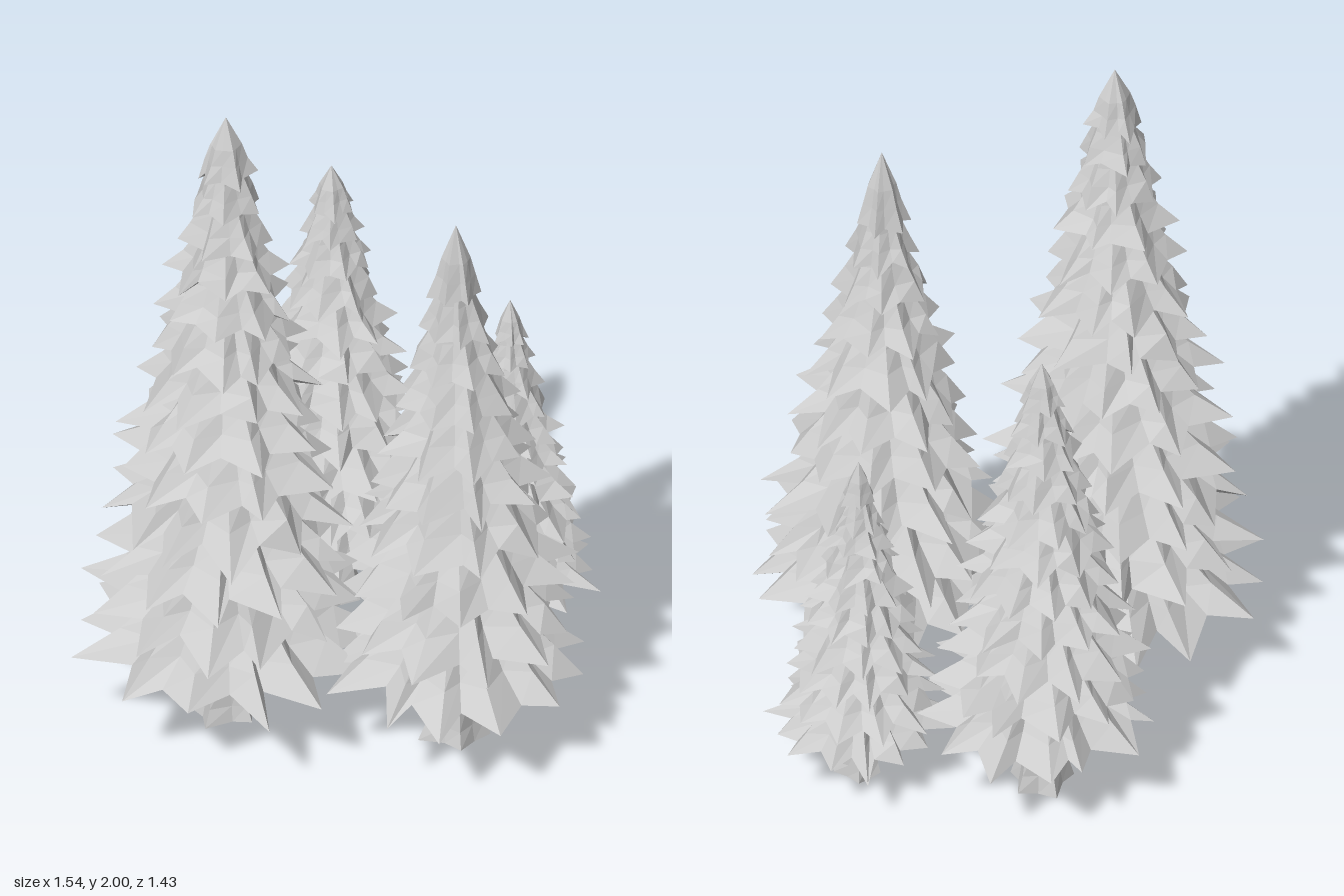
import * as THREE from 'three';

// Small seeded generator
function seeded(seed) {
  let s = seed;
  return () => {
    s = (s * 16807) % 2147483647;
    return s / 2147483647;
  };
}

// Faceted surface through rings of points (bottom to top), closed by a fan below
function loft(rings, under) {
  const pos = [];
  const tri = (...p) => p.forEach((v) => pos.push(v.x, v.y, v.z));
  const n = rings[0].length;
  for (let i = 0; i < n; i++) {
    const j = (i + 1) % n;
    tri(under, rings[0][i], rings[0][j]);
    for (let k = 0; k + 1 < rings.length; k++) {
      const a = rings[k], b = rings[k + 1];
      tri(a[i], b[i], a[j]);
      tri(a[j], b[i], b[j]);
    }
  }
  const g = new THREE.BufferGeometry();
  g.setAttribute('position', new THREE.Float32BufferAttribute(pos, 3));
  g.computeVertexNormals();
  return g;
}

const polar = (a, r, y) => new THREE.Vector3(Math.cos(a) * r, y, Math.sin(a) * r);

// Jagged skirt of branches: long drooping tips with raised notches between them
function skirt(rand, points, radius, y, height, pitch, isTop) {
  const n = points * 2, turn = rand() * Math.PI * 2;
  const rings = [[], [], [], []];
  for (let i = 0; i < n; i++) {
    const tip = i % 2 === 0;
    const a = turn + ((i + (rand() - 0.5) * 0.8) / n) * Math.PI * 2;
    const bend = (rand() - 0.5) * 0.06;
    const r = radius * (tip ? 0.84 + rand() * 0.2 : 0.66 + rand() * 0.1);
    const lift = (tip ? rand() * 0.2 : 0.18 + rand() * 0.18) * pitch;
    rings[0].push(polar(a, r, y + lift));
    rings[1].push(polar(a, radius * (tip ? 0.69 : 0.55 + bend), y + height * 0.33));
    rings[2].push(polar(a, radius * (tip ? 0.51 : 0.43 + bend), y + height * 0.56));
    rings[3].push(polar(a, isTop ? 0 : radius * 0.25, y + height));
  }
  return loft(rings, new THREE.Vector3(0, y + pitch * 0.3, 0));
}

// Five-sided trunk flaring into uneven roots
function trunk(rand, top, bottom, height) {
  const rings = [[], [], [], []];
  const sides = 10, turn = rand() * 6;
  for (let i = 0; i < sides; i++) {
    const a = turn + ((i + (rand() - 0.5) * 0.3) / sides) * Math.PI * 2;
    const ridge = i % 2 === 0;
    const root = bottom * (ridge ? 0.95 + rand() * 0.2 : 0.72);
    const stem = top * (ridge ? 1.05 : 0.88);
    rings[0].push(polar(a, root, rand() * 0.015));
    rings[1].push(polar(a, stem + (root - stem) * 0.55, height * 0.18));
    rings[2].push(polar(a, stem * 1.08, height * 0.5));
    rings[3].push(polar(a, stem, height));
  }
  return loft(rings, new THREE.Vector3(0, 0, 0));
}

function tree(spec, material) {
  const rand = seeded(spec.seed);
  const group = new THREE.Group();
  group.name = spec.name;
  group.position.set(spec.x, 0, spec.z);
  const add = (geometry, name) => {
    const mesh = new THREE.Mesh(geometry, material);
    mesh.name = name;
    group.add(mesh);
  };
  add(trunk(rand, spec.trunkTop, spec.trunkBase, spec.low + 0.1), 'trunk');

  // Tiers sit closer together and get narrower towards the top
  const last = spec.tiers - 1;
  const span = spec.high - spec.low;
  const level = (k) => {
    const t = k / last;
    return t + 0.2 * t * (1 - t);
  };
  for (let k = 0; k <= last; k++) {
    const f = level(k);
    const isTop = k === last;
    const y = spec.low + span * f;
    const pitch = span * (isTop ? f - level(k - 1) : level(k + 1) - f);
    const radius = spec.radius * (1 - 0.8 * Math.pow(f, 1.2));
    const points = Math.round(13 - 7 * f);
    const height = isTop ? spec.height - y : pitch * 1.9;
    add(skirt(rand, points, radius, y, height, pitch, isTop), 'branches' + (k + 1));
  }
  return group;
}

export function createModel() {
  const grey = new THREE.MeshStandardMaterial({ color: 0xcccccc });
  grey.name = 'light grey';
  const model = new THREE.Group();
  model.name = 'pineTrees';
  const specs = [
    { name: 'tallTree', x: -0.36, z: -0.08, height: 2.0, low: 0.23, high: 1.8, radius: 0.43, tiers: 13, trunkTop: 0.058, trunkBase: 0.1, seed: 1207 },
    { name: 'frontTree', x: 0.115, z: 0.345, height: 1.71, low: 0.23, high: 1.46, radius: 0.395, tiers: 10, trunkTop: 0.06, trunkBase: 0.1, seed: 40961 },
    { name: 'backTree', x: 0.18, z: -0.39, height: 1.44, low: 0.22, high: 1.29, radius: 0.34, tiers: 11, trunkTop: 0.054, trunkBase: 0.09, seed: 77713 },
    { name: 'smallTree', x: 0.53, z: -0.03, height: 1.07, low: 0.15, high: 0.93, radius: 0.26, tiers: 10, trunkTop: 0.046, trunkBase: 0.065, seed: 90533 },
  ];
  specs.forEach((spec) => model.add(tree(spec, grey)));
  return model;
}
